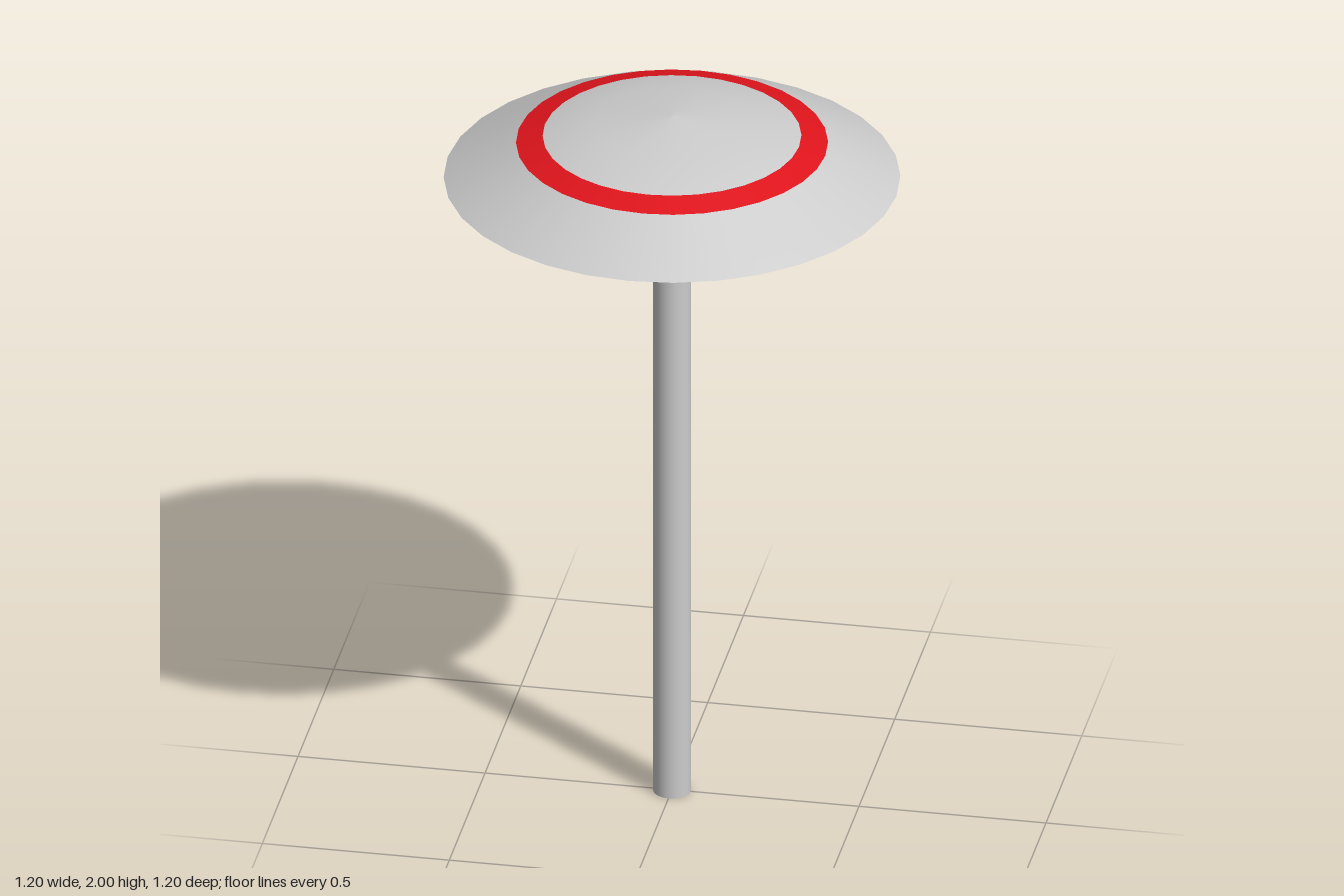
import * as THREE from 'three';

const SIDES = 32;

// Smooth surface of revolution from [radius, height] pairs, listed from the outer/lower point inward/upward
function revolve(name, points, material) {
  const profile = points.map(([r, y]) => new THREE.Vector2(r, y));
  const mesh = new THREE.Mesh(new THREE.LatheGeometry(profile, SIDES), material);
  mesh.name = name;
  return mesh;
}

export function createModel() {
  const model = new THREE.Group();
  model.name = 'domedPost';
  const grey = new THREE.MeshStandardMaterial({ color: 0xcccccc });
  const red = new THREE.MeshStandardMaterial({ color: 0xe0141c });

  // Straight round post
  const post = new THREE.Mesh(new THREE.CylinderGeometry(0.05, 0.05, 1.83, SIDES), grey);
  post.name = 'post';
  post.position.y = 0.915;
  model.add(post);

  // Shallow domed cap: skirt, red band and crown share their edges
  const cap = new THREE.Group();
  cap.name = 'cap';
  cap.add(
    revolve('underside', [[0, 1.82], [0.6, 1.82]], grey),
    revolve('skirt', [[0.6, 1.82], [0.56, 1.842], [0.41, 1.922]], grey),
    revolve('redBand', [[0.41, 1.922], [0.34, 1.942]], red),
    revolve('crown', [[0.34, 1.942], [0.205, 1.981], [0, 2]], grey),
  );
  model.add(cap);

  return model;
}
